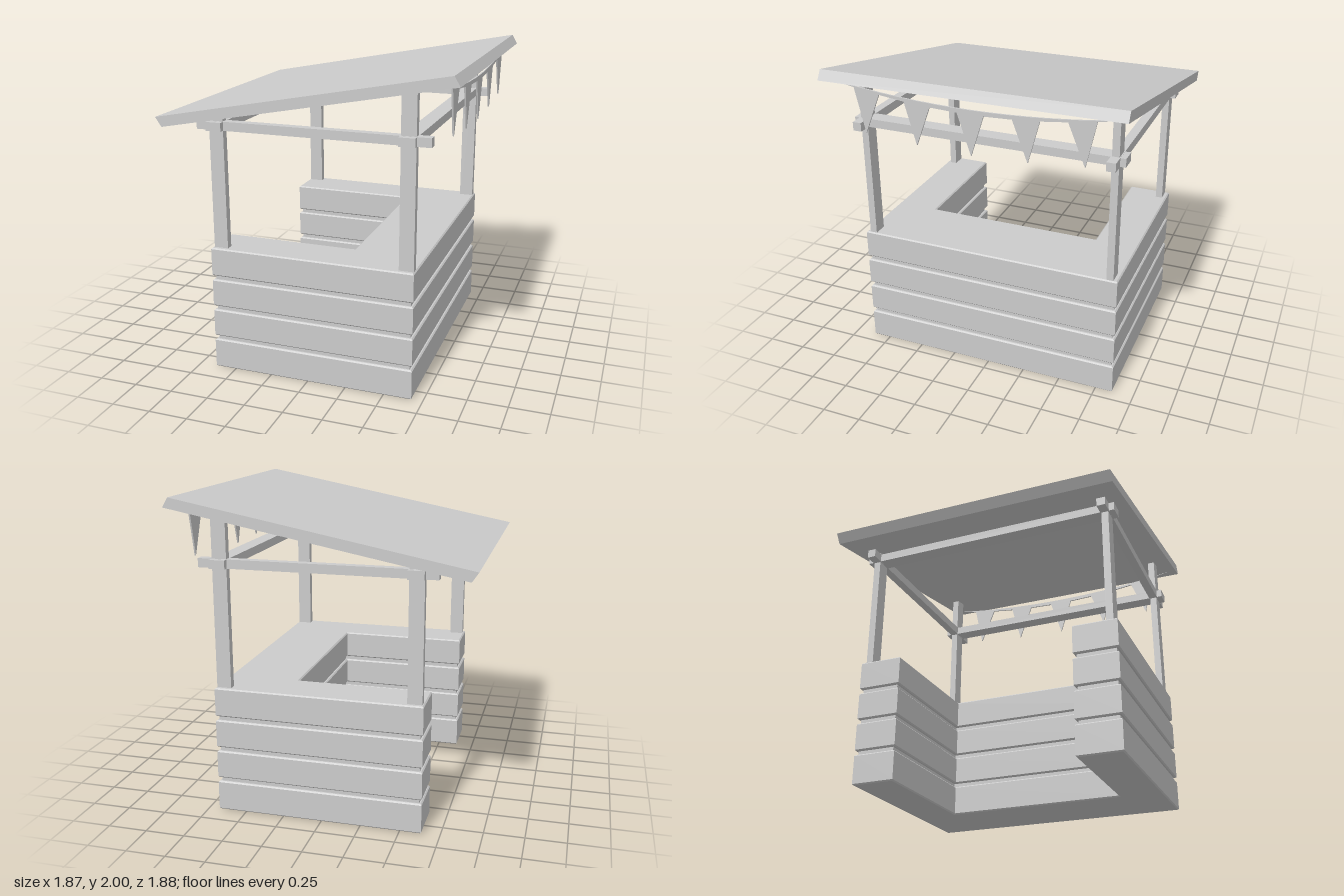
import * as THREE from 'three';

const material = new THREE.MeshStandardMaterial({ color: 0xcccccc, flatShading: true });

function part(parent, name, geometry, x = 0, y = 0, z = 0) {
  const mesh = new THREE.Mesh(geometry, material);
  mesh.name = name;
  mesh.position.set(x, y, z);
  parent.add(mesh);
  return mesh;
}

const polygon = (points) => new THREE.Shape(points.map(([a, b]) => new THREE.Vector2(a, b)));

// U-shaped counter layer, open towards -x, with its outline pulled in by d
function counterLayer(y0, y1, d, bevel) {
  const left = -0.635 + d, right = 0.68 - d, outer = 0.862 - d;
  const innerX = 0.22 + d, innerZ = 0.58 + d;
  const shape = polygon([
    [left, -outer], [right, -outer], [right, outer], [left, outer],
    [left, innerZ], [innerX, innerZ], [innerX, -innerZ], [left, -innerZ],
  ]);
  const geometry = new THREE.ExtrudeGeometry(shape, {
    depth: y1 - y0 - 2 * bevel, bevelEnabled: bevel > 0, bevelThickness: bevel,
    bevelSize: bevel, bevelOffset: -bevel, bevelSegments: 1,
  });
  return geometry.rotateX(Math.PI / 2).translate(0, y1 - bevel, 0);
}

// Hanging string of pennants, drawn as one outline in z and y
function buntingGeometry() {
  const half = 0.886;
  const top = (z) => 1.857 + 0.065 * (z / half) ** 2;
  const bottom = (z) => top(z) - 0.027 * (1 - (z / half) ** 2);
  const points = [];
  for (let i = 0; i <= 16; i++) {
    const z = half - (2 * half * i) / 16;
    points.push([z, top(z)]);
  }
  const flags = [[-0.69, 1.615], [-0.35, 1.587], [0, 1.575], [0.35, 1.587], [0.69, 1.615]];
  for (const [z, tip] of flags) {
    const middle = z * 0.97;
    points.push([middle - 0.083, bottom(middle - 0.083)], [z, tip], [middle + 0.083, bottom(middle + 0.083)]);
  }
  const geometry = new THREE.ExtrudeGeometry(polygon(points), { depth: 0.01, bevelEnabled: false });
  return geometry.rotateY(-Math.PI / 2);
}

export function createModel() {
  const model = new THREE.Group();
  model.name = 'marketStall';

  // Counter: four rows of boards around a slightly recessed core
  const counter = new THREE.Group();
  counter.name = 'counter';
  model.add(counter);
  part(counter, 'counterCore', counterLayer(0.02, 0.8, 0.018, 0));
  for (const [y0, y1] of [[0, 0.195], [0.22, 0.402], [0.428, 0.608], [0.634, 0.82]]) {
    part(counter, 'counterBoard', counterLayer(y0, y1, 0, 0.008));
  }

  // Posts and crossing beams
  const frame = new THREE.Group();
  frame.name = 'frame';
  model.add(frame);
  for (const [x, top] of [[-0.577, 1.66], [0.626, 1.89]]) {
    for (const side of [1, -1]) {
      part(frame, 'post', new THREE.BoxGeometry(0.092, top - 0.8, 0.045), x, (top + 0.8) / 2, side * 0.812);
    }
    part(frame, 'crossBeam', new THREE.BoxGeometry(0.1, 0.054, 1.75), x, 1.602, 0);
  }
  for (const side of [1, -1]) {
    part(frame, 'sideBeam', new THREE.BoxGeometry(1.465, 0.056, 0.056), 0.028, 1.602, side * 0.812);
  }

  // Sloping roof slab, set very slightly askew
  const roofShape = polygon([[-0.893, 1.593], [0.928, 1.94], [0.893, 2], [-0.933, 1.652]]);
  const roof = new THREE.ExtrudeGeometry(roofShape, { depth: 1.884, bevelEnabled: false });
  roof.translate(0, 0, -0.942);
  const position = roof.attributes.position;
  for (let i = 0; i < position.count; i++) {
    position.setX(i, position.getX(i) + 0.006 * position.getZ(i));
  }
  roof.computeVertexNormals();
  part(model, 'roof', roof);

  // Pennants under the high edge of the roof
  part(model, 'bunting', buntingGeometry(), 0.85);

  return model;
}
